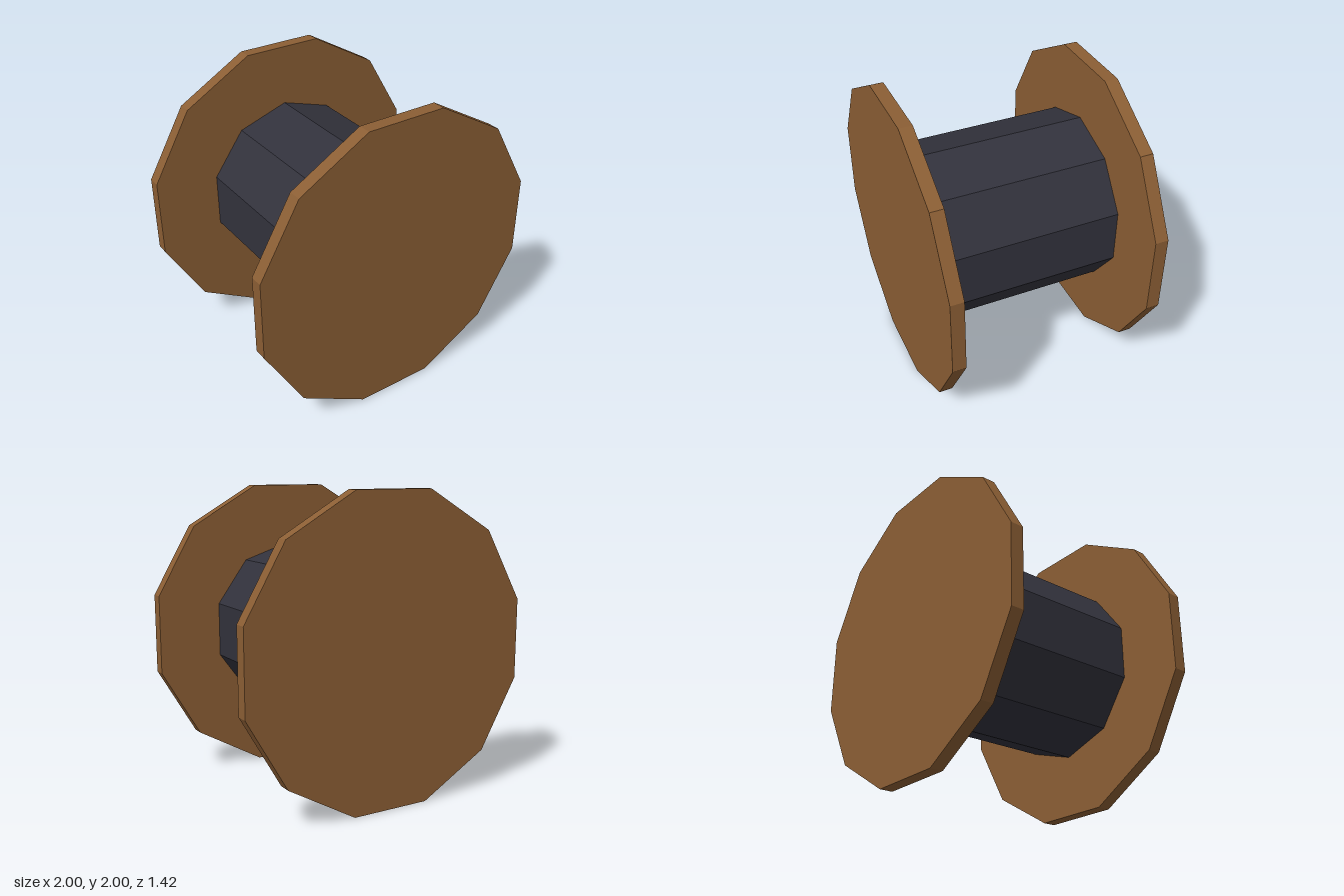
import * as THREE from 'three';

const DRUM_RADIUS = 0.593;
const FLANGE_RADIUS = 1 / Math.cos(Math.PI / 12); // flat sides reach 1 unit from the axis
const INNER_Z = 0.62;
const OUTER_Z = 0.708;

// Faceted disc lying along the z axis
function prism(name, radius, length, sides, turn, material) {
  const geometry = new THREE.CylinderGeometry(radius, radius, length, sides, 1, false, turn);
  geometry.rotateX(Math.PI / 2);
  const mesh = new THREE.Mesh(geometry, material);
  mesh.name = name;
  mesh.position.y = 1;
  return mesh;
}

export function createModel() {
  const group = new THREE.Group();
  group.name = 'cableSpool';

  const wood = new THREE.MeshStandardMaterial({ color: 0x8b5e34, flatShading: true });
  wood.name = 'brown wood';
  const cable = new THREE.MeshStandardMaterial({ color: 0x32323c, flatShading: true });
  cable.name = 'dark cable';

  // Wound cable: ten sides with a corner at the top
  group.add(prism('cableDrum', DRUM_RADIUS, INNER_Z * 2, 10, 0, cable));

  // End flanges: twelve sides, standing on a flat
  for (const side of [1, -1]) {
    const name = side > 0 ? 'frontFlange' : 'backFlange';
    const flange = prism(name, FLANGE_RADIUS, OUTER_Z - INNER_Z, 12, Math.PI / 12, wood);
    flange.position.z = side * (INNER_Z + OUTER_Z) / 2;
    group.add(flange);
  }
  return group;
}
